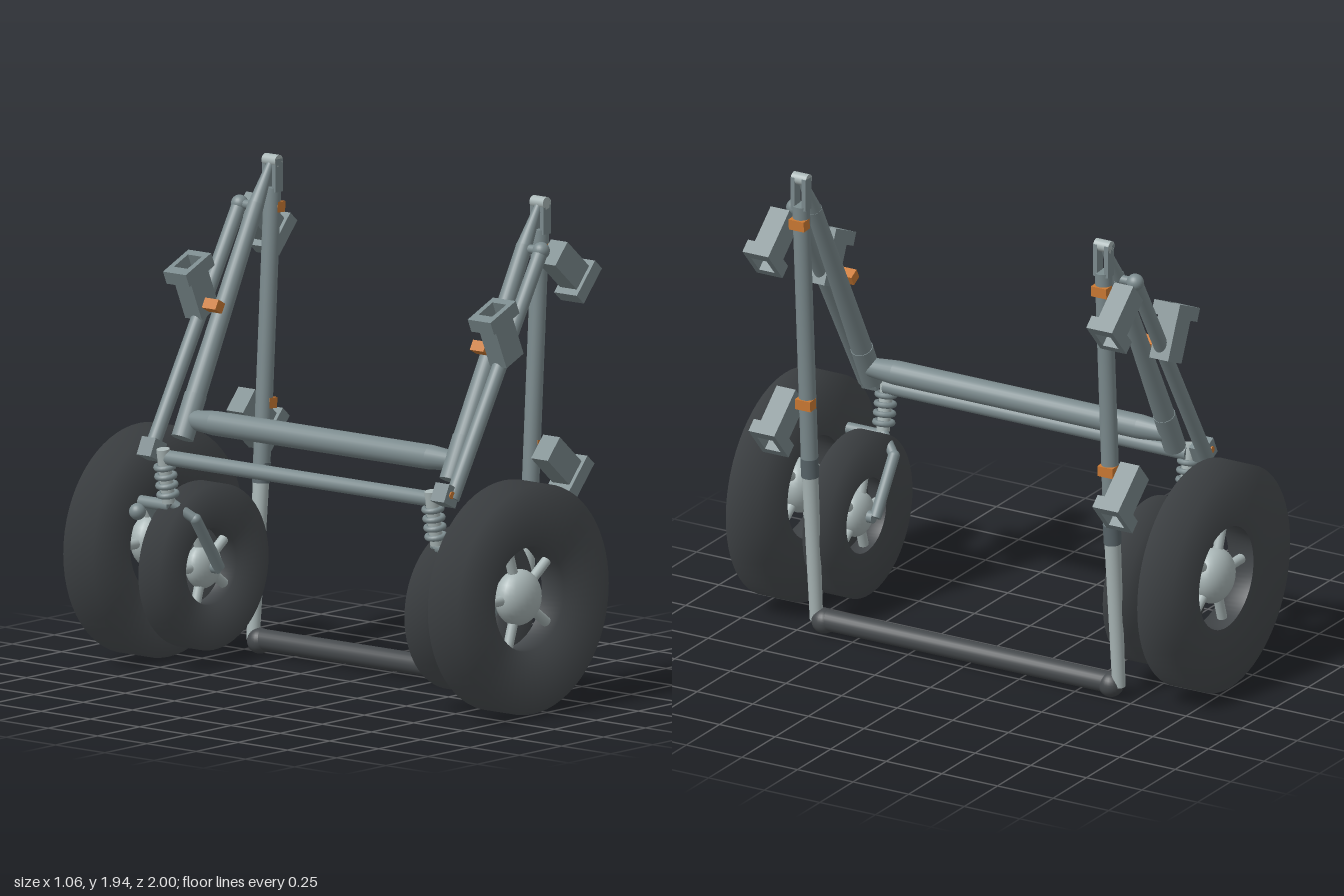
import * as THREE from 'three';

const mat = (name, color) => {
  const m = new THREE.MeshStandardMaterial({ color });
  m.name = name;
  return m;
};

export function createModel() {
  const model = new THREE.Group();
  const steel = mat('steel grey', 0x7b8a8d);
  const pale = mat('pale metal', 0xa9b6b6);
  const rubber = mat('dark rubber', 0x45494c);
  const dark = mat('dark steel', 0x59656a);
  const orange = mat('orange', 0xcc7a33);
  const V = (x, y, z) => new THREE.Vector3(x, y, z);

  function add(parent, name, geometry, material, x = 0, y = 0, z = 0) {
    const m = new THREE.Mesh(geometry, material);
    m.name = name;
    m.position.set(x, y, z);
    parent.add(m);
    return m;
  }
  // cylinder running between two points
  function rod(parent, name, material, a, b, r0, r1 = r0) {
    const d = b.clone().sub(a);
    const m = add(parent, name, new THREE.CylinderGeometry(r1, r0, d.length(), 24), material);
    m.position.copy(a).add(b).multiplyScalar(0.5);
    m.quaternion.setFromUnitVectors(V(0, 1, 0), d.normalize());
    return m;
  }
  const ball = (parent, name, material, r, x, y, z) =>
    add(parent, name, new THREE.SphereGeometry(r, 24, 16), material, x, y, z);

  // softly shaded tyre with slightly dished faces, five spokes and a domed hub
  function wheel(parent, name, R, r, half, hubR, x, y, z) {
    const g = new THREE.Group();
    g.name = name;
    g.position.set(x, y, z);
    parent.add(g);
    const waist = half * 0.75;
    const profile = [[r, -waist], [R, -half], [R, half], [r, waist], [r, -waist]]
      .map(([a, b]) => new THREE.Vector2(a, b));
    add(g, 'tyre', new THREE.LatheGeometry(profile, 64), rubber).rotation.x = Math.PI / 2;
    ball(g, 'hub', pale, hubR, 0, 0, 0).scale.z = Math.min(1, half / hubR);
    for (let i = 0; i < 5; i++) {
      const a = Math.PI + i * Math.PI * 0.4, c = Math.cos(a), s = Math.sin(a);
      rod(g, 'spoke', pale, V(0, 0, 0), V(c * (r + 0.01), s * (r + 0.01), 0), 0.02);
    }
  }

  // bracket block with an open rectangular frame at its outer end
  function clamp(parent, x, y, z, angle) {
    const g = new THREE.Group();
    g.name = 'clamp';
    g.position.set(x, y, z);
    g.rotation.z = angle;
    parent.add(g);
    add(g, 'clampBody', new THREE.BoxGeometry(0.175, 0.11, 0.085), steel, -0.11, 0, 0);
    const frame = new THREE.Shape([[-0.058, -0.082], [0.058, -0.082], [0.058, 0.082], [-0.058, 0.082]]
      .map(([a, b]) => new THREE.Vector2(a, b)));
    frame.holes.push(new THREE.Path([[-0.035, -0.05], [-0.035, 0.04], [0.035, 0.04], [0.035, -0.05]]
      .map(([a, b]) => new THREE.Vector2(a, b))));
    const geo = new THREE.ExtrudeGeometry(frame, { depth: 0.055, bevelEnabled: false });
    geo.translate(0, 0, -0.0275).rotateY(Math.PI / 2);
    add(g, 'clampFrame', geo, steel);
  }

  function side(s) {
    const g = new THREE.Group();
    g.name = s > 0 ? 'frontSide' : 'backSide';
    model.add(g);
    const P = (x, y, z) => V(x, y, z * s);

    wheel(g, 'largeWheel', 0.45, 0.205, 0.075, 0.11, -0.083, 0.455, 0.925 * s);
    wheel(g, 'smallWheel', 0.325, 0.15, 0.053, 0.09, -0.08, 0.385, 0.675 * s);
    rod(g, 'largeAxle', steel, P(-0.083, 0.455, 0.79), P(-0.083, 0.455, 0.92), 0.022);
    rod(g, 'smallAxle', steel, P(-0.08, 0.385, 0.6), P(-0.08, 0.385, 0.8), 0.024);

    // upright pole with a forked top
    rod(g, 'poleFoot', pale, P(0.22, 0.05, 0.68), P(0.268, 0.67, 0.68), 0.026, 0.032);
    rod(g, 'poleCollar', dark, P(0.267, 0.66, 0.68), P(0.274, 0.74, 0.68), 0.035);
    rod(g, 'pole', steel, P(0.268, 0.67, 0.68), P(0.336, 1.81, 0.68), 0.034);
    for (const dz of [-0.025, 0.025])
      add(g, 'forkProng', new THREE.BoxGeometry(0.045, 0.13, 0.018), steel, 0.337, 1.86, (0.68 + dz) * s);
    rod(g, 'topPin', pale, P(0.334, 1.917, 0.646), P(0.334, 1.917, 0.714), 0.024);
    ball(g, 'footBall', rubber, 0.05, 0.22, 0.05, 0.645 * s);

    // sloping tubes
    rod(g, 'slopingTip', steel, P(0.33, 1.915, 0.68), P(0.235, 1.75, 0.68), 0.014, 0.032);
    rod(g, 'slopingTube', steel, P(0.24, 1.76, 0.68), P(-0.13, 1.04, 0.68), 0.032, 0.042);
    rod(g, 'slopingSleeve', steel, P(-0.12, 1.06, 0.68), P(-0.2, 0.9, 0.68), 0.044);
    rod(g, 'outerTube', steel, P(0.24, 1.75, 0.765), P(-0.29, 0.85, 0.765), 0.029);
    ball(g, 'outerTubeEnd', steel, 0.034, 0.24, 1.75, 0.765 * s);
    rod(g, 'outerTubeLink', steel, P(0.24, 1.75, 0.68), P(0.24, 1.75, 0.765), 0.018);
    const block = add(g, 'lowerBlock', new THREE.BoxGeometry(0.075, 0.075, 0.07), steel, -0.305, 0.865, 0.745 * s);
    block.rotation.z = -0.45;
    rod(g, 'lowerBolt', orange, P(-0.31, 0.87, 0.72), P(-0.31, 0.87, 0.785), 0.014);

    // spring strut
    const top = P(-0.315, 0.875, 0.68), low = P(-0.28, 0.66, 0.68);
    rod(g, 'strut', pale, top, low, 0.026);
    const axis = low.clone().sub(top).normalize();
    for (let i = 0; i < 4; i++) {
      const coil = add(g, 'springCoil', new THREE.TorusGeometry(0.034, 0.012, 8, 24), steel);
      coil.position.lerpVectors(top, low, 0.33 + i * 0.17);
      coil.quaternion.setFromUnitVectors(V(0, 0, 1), axis);
    }
    // arms from the strut to the small axle
    rod(g, 'armBridge', steel, P(-0.27, 0.645, 0.68), P(-0.27, 0.645, 0.83), 0.024);
    rod(g, 'innerArm', steel, P(-0.22, 0.595, 0.595), P(-0.08, 0.385, 0.595), 0.023);
    ball(g, 'innerArmTop', steel, 0.023, -0.22, 0.595, 0.595 * s);
    rod(g, 'innerArmLink', steel, P(-0.22, 0.595, 0.595), P(-0.27, 0.655, 0.67), 0.02);
    rod(g, 'outerArm', steel, P(-0.26, 0.64, 0.79), P(-0.08, 0.4, 0.79), 0.027);
    ball(g, 'linkKnob', steel, 0.033, -0.3, 0.61, 0.822 * s);

    // clamps, each with an orange pad set against its tube
    for (const [x, y, angle, px, py, tilt] of [
      [0.45, 1.605, -0.72, 0.35, 1.735, -0.06],
      [0.405, 0.845, -0.72, 0.302, 0.972, -0.06],
      [-0.052, 1.535, 1.98, -0.015, 1.395, -0.5]]) {
      clamp(g, x, y, 0.773 * s, angle);
      const pad = add(g, 'clampPad', new THREE.BoxGeometry(0.045, 0.042, 0.068), orange, px, py, 0.68 * s);
      pad.rotation.z = tilt;
    }

    // tapered end of the main crossbar
    rod(model, 'crossbarEnd', steel, P(-0.16, 0.97, 0.55), P(-0.16, 0.97, 0.68), 0.048, 0.036);
  }
  side(1);
  side(-1);

  // tubes joining both sides
  rod(model, 'mainCrossbar', steel, V(-0.16, 0.97, -0.55), V(-0.16, 0.97, 0.55), 0.048);
  rod(model, 'rearCrossbar', steel, V(-0.3, 0.84, -0.68), V(-0.3, 0.84, 0.68), 0.03);
  rod(model, 'baseBar', rubber, V(0.22, 0.056, -0.645), V(0.22, 0.056, 0.645), 0.042);
  return model;
}
